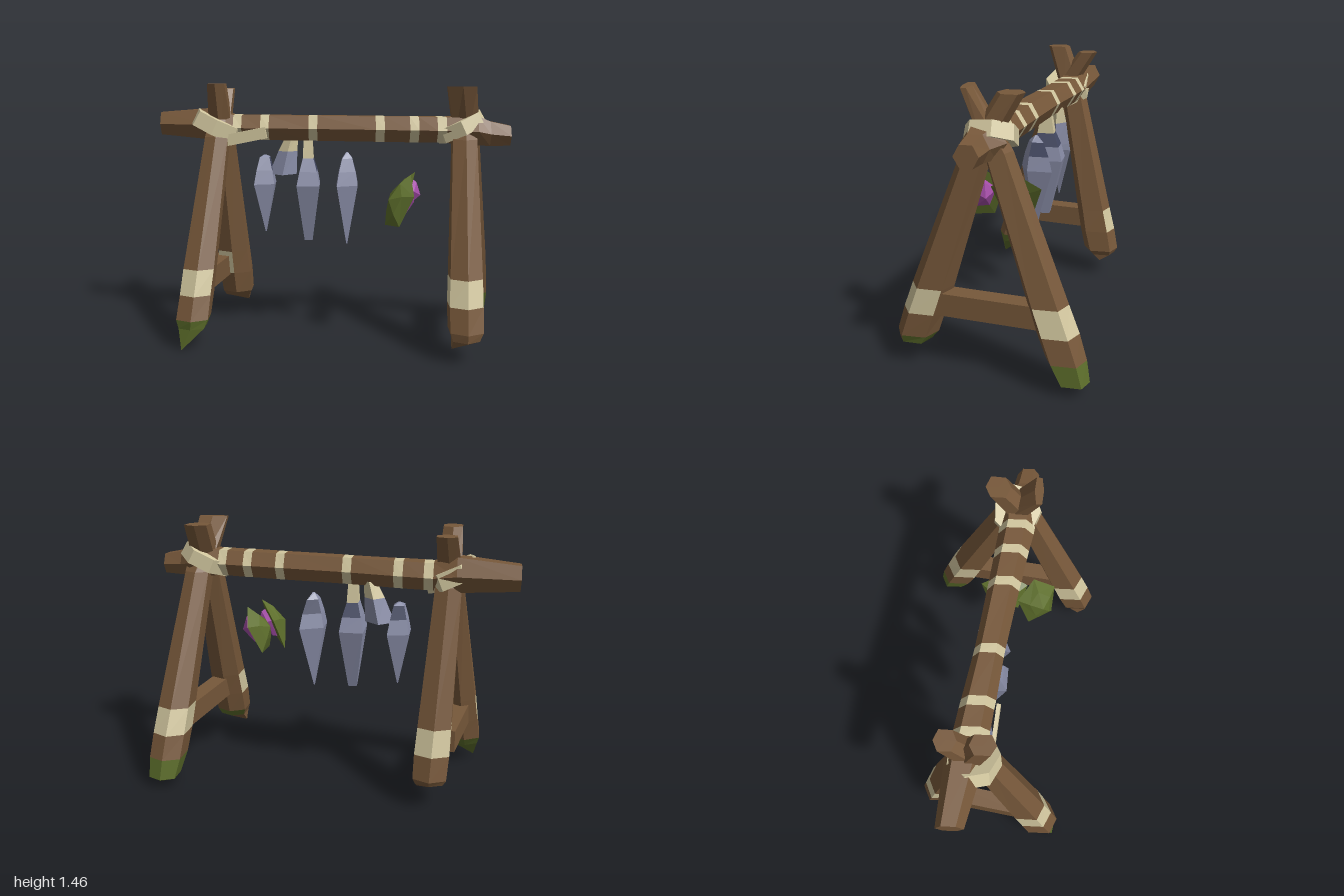
import * as THREE from 'three';

const mat = (name, color) => {
  const m = new THREE.MeshStandardMaterial({ color });
  m.name = name;
  return m;
};

export function createModel() {
  const model = new THREE.Group();
  model.name = 'hangingRack';
  const mats = [
    mat('wood', 0x77583a), mat('binding', 0xd2c79f), mat('moss', 0x5d6e2b),
    mat('crystal', 0x8a8ea8), mat('darkCrystal', 0x434862), mat('blossom', 0xa64eaa),
  ];
  const WOOD = 0, BIND = 1, MOSS = 2, CRYSTAL = 3, DARK = 4, BLOSSOM = 5;

  let seed = 7;
  const rand = () => (seed = (seed * 16807) % 2147483647) / 2147483647;
  const squarish = (v) => Math.sign(v) * Math.abs(v) ** 0.7;

  // Faceted loft through rings [x, y, z, ra, rb], ascending along the axis.
  // paint(i, j) gives the colour of side j in span i; -1 is the first cap.
  function loft(name, axis, n, rings, paint, { start, end, phase = 0, rough = 0.06 } = {}) {
    const side = Array.from({ length: n }, () => 1 + (rand() - 0.5) * 2 * rough);
    const pts = rings.map(([x, y, z, ra, rb]) => side.map((s, j) => {
      const a = phase + (j / n) * Math.PI * 2;
      const k = s * (1 + (rand() - 0.5) * rough);
      return axis === 'y'
        ? [x + squarish(Math.cos(a)) * ra * k, y, z + squarish(Math.sin(a)) * rb * k]
        : [x, y + Math.sin(a) * ra * k, z + Math.cos(a) * rb * k];
    }));
    const buckets = mats.map(() => []);
    const last = rings.length - 1;
    const first = start || rings[0].slice(0, 3), final = end || rings[last].slice(0, 3);
    for (let j = 0; j < n; j++) {
      const k = (j + 1) % n;
      for (let i = 0; i < last; i++) {
        const [a, b, c, d] = [pts[i][j], pts[i + 1][j], pts[i + 1][k], pts[i][k]];
        buckets[paint(i, j)].push(...a, ...b, ...d, ...b, ...c, ...d);
      }
      buckets[paint(-1, j)].push(...first, ...pts[0][j], ...pts[0][k]);
      buckets[paint(last, j)].push(...final, ...pts[last][k], ...pts[last][j]);
    }
    const g = new THREE.BufferGeometry();
    let at = 0;
    buckets.forEach((b, m) => {
      if (b.length) g.addGroup(at, b.length / 3, m);
      at += b.length / 3;
    });
    g.setAttribute('position', new THREE.Float32BufferAttribute(buckets.flat(), 3));
    g.computeVertexNormals();
    const mesh = new THREE.Mesh(g, mats);
    mesh.name = name;
    return mesh;
  }

  // Legs: foot, crossing and top centres. The band covers the sides that face
  // bandDir [x, z]; moss covers those facing mossDir, or the whole foot if mossy.
  function leg(name, { foot, cross, top, tip, topR, bandDir, mossDir, mossy }) {
    const at = (y) => {
      const t = (y - foot[1]) / (cross[1] - foot[1]);
      return [foot[0] + (cross[0] - foot[0]) * t, y, foot[2] + (cross[2] - foot[2]) * t];
    };
    const rings = [
      [...foot, 0.082, 0.082], [...at(0.18), 0.1, 0.105], [...at(0.31), 0.102, 0.108],
      [...at(0.45), 0.098, 0.104], [...cross, 0.077, 0.075], [...top, ...topR],
    ];
    const paint = (i, j) => {
      const a = Math.PI / 6 + ((j + 0.5) / 6) * Math.PI * 2;
      const facing = (d) => Math.cos(a) * d[0] + Math.sin(a) * d[1];
      if (i < 1) return mossy || (i === 0 && mossDir && facing(mossDir) > 0) ? MOSS : WOOD;
      return i === 2 && facing(bandDir) > -0.3 ? BIND : WOOD;
    };
    model.add(loft(name, 'y', 6, rings, paint, { start: tip, phase: Math.PI / 6 }));
  }
  leg('leftFrontLeg', {
    foot: [0.735, 0.135, 0.435], cross: [0.75, 1.17, 0.08], top: [0.75, 1.44, -0.08],
    tip: [0.66, 0.08, 0.44], topR: [0.07, 0.065], bandDir: [0, 1], mossDir: [0.7, -0.7],
  });
  leg('leftBackLeg', {
    foot: [0.9, 0.07, -0.41], cross: [0.775, 1.17, -0.02], top: [0.725, 1.46, 0.135],
    tip: [0.92, 0.04, -0.44], topR: [0.09, 0.025], bandDir: [0, -1], mossy: true,
  });
  leg('rightFrontLeg', {
    foot: [-0.765, 0.13, 0.23], cross: [-0.65, 1.17, -0.09], top: [-0.625, 1.44, -0.27],
    tip: [-0.82, 0.01, 0.3], topR: [0.06, 0.055], bandDir: [-0.5, 0.87], mossy: true,
  });
  leg('rightBackLeg', {
    foot: [-0.585, 0.15, -0.4], cross: [-0.64, 1.17, -0.19], top: [-0.65, 1.47, -0.09],
    tip: [-0.52, 0.11, -0.39], topR: [0.055, 0.065], bandDir: [-0.7, -0.7],
  });

  // Low braces joining each pair of legs
  function brace(name, a, b) {
    const A = new THREE.Vector3(...a), B = new THREE.Vector3(...b);
    const m = new THREE.Mesh(new THREE.BoxGeometry(0.1, 0.12, A.distanceTo(B)), mats[WOOD]);
    m.name = name;
    m.position.copy(A).add(B).multiplyScalar(0.5);
    m.lookAt(B);
    model.add(m);
  }
  brace('leftBrace', [0.76, 0.37, 0.35], [0.84, 0.37, -0.29]);
  brace('rightBrace', [-0.74, 0.36, 0.15], [-0.66, 0.36, -0.34]);

  // Top beam with painted binding stripes
  const beamZ = (x) => -0.08 + 0.16 * x;
  const stripes = [-0.56, -0.4, -0.12, 0.26, 0.45, 0.6];
  const beam = [[-1, 1.235, -0.24, 0.075, 0.07], [-0.68, 1.235, beamZ(-0.68), 0.105, 0.1]];
  stripes.forEach((x) => [x, x + 0.05].forEach((s) =>
    beam.push([s, 1.218, beamZ(s), 0.082, 0.078 + 0.03 * Math.abs(s)])));
  beam.push([0.82, 1.215, 0.035, 0.093, 0.11], [0.89, 1.2, 0.06, 0.077, 0.07],
    [1, 1.19, 0.075, 0.062, 0.06]);
  model.add(loft('beam', 'x', 6, beam,
    (i) => (i >= 2 && i < 2 + stripes.length * 2 && i % 2 === 0 ? BIND : WOOD), { rough: 0.025 }));

  // Slanted lashings around the crossings
  function lashing(name, pos, scale, height, tilt) {
    const g = new THREE.CylinderGeometry(1, 1.05, height, 7).toNonIndexed();
    g.scale(scale[0], 1, scale[1]);
    g.computeVertexNormals();
    const m = new THREE.Mesh(g, mats[BIND]);
    m.name = name;
    m.position.set(...pos);
    m.rotation.z = tilt;
    model.add(m);
  }
  lashing('leftLashing', [0.735, 1.235, 0.02], [0.142, 0.13], 0.08, 0.44);
  lashing('rightLashing', [-0.655, 1.225, -0.145], [0.15, 0.135], 0.09, -0.44);
  const tail = new THREE.Mesh(new THREE.BoxGeometry(0.26, 0.065, 0.02), mats[BIND]);
  tail.name = 'lashingTail';
  tail.position.set(-0.49, 1.17, -0.045);
  tail.rotation.set(0, -0.1, 0.2);
  model.add(tail);

  // Hanging crystals: four-sided blades with dark shoulders on the left and back
  function crystal(name, [x, z], [low, high], [ra, rb], neck, blunt, phase, turn) {
    const rings = [
      [0, low, 0, blunt, blunt], [0, 0.89, 0, ra, rb], [0, 0.97, 0, ra * 0.78, rb * 0.78],
      [0, 1.045, 0, ra * 0.48, rb * 0.48], [0, high, 0, neck, neck],
    ];
    const paint = (i, j) => {
      if (i === 2 && j !== 1 && (j !== 2 || phase)  && !(phase && j === 0)) return DARK;
      return i > 2 && neck > 0.02 ? BIND : CRYSTAL;
    };
    const m = loft(name, 'y', 4, rings, paint, { phase, rough: 0.04 });
    m.position.set(x, 0, z);
    m.rotation.y = turn;
    model.add(m);
  }
  crystal('rightCrystal', [-0.38, -0.14], [0.6, 1.06], [0.092, 0.07], 0.008, 0.004, 0, 0.9);
  crystal('middleCrystal', [-0.125, -0.1], [0.56, 1.19], [0.083, 0.125], 0.03, 0.03, Math.PI / 4, 0);
  crystal('leftCrystal', [0.1, -0.08], [0.54, 1.08], [0.112, 0.074], 0.008, 0.004, 0, 1);
  // Leaning shard and its cord beside the right crystal
  model.add(loft('leaningShard', 'y', 4, [
    [-0.275, 0.945, -0.14, 0.08, 0.07], [-0.245, 1.08, -0.145, 0.055, 0.05],
    [-0.22, 1.17, -0.145, 0.035, 0.035],
  ], (i) => (i >= 1 ? BIND : CRYSTAL)));

  // Leafy cups, each holding a pointed blossom that leans out to the left
  function flower(name, pos, ry, rz, turn) {
    const f = new THREE.Group();
    f.name = name;
    f.add(loft('leafCup', 'x', 5, [[-0.03, 0, 0, ry * 0.55, rz * 0.55], [0.015, 0, 0, ry, rz]],
      () => MOSS, { start: [-0.065, -0.01, 0], end: [0.03, 0, 0], phase: Math.PI / 2, rough: 0.1 }));
    f.add(loft('blossom', 'x', 5,
      [[0.012, 0.01, 0, ry * 0.62, rz * 0.6], [0.045, 0.015, 0, ry * 0.54, rz * 0.52]],
      () => BLOSSOM, { end: [0.095, 0.03, 0], phase: Math.PI / 2 }));
    f.position.set(...pos);
    f.rotation.set(0, turn, -0.38);
    model.add(f);
  }
  flower('frontFlower', [0.385, 0.83, 0.16], 0.16, 0.12, 0.45);
  flower('backFlower', [0.425, 0.845, -0.04], 0.15, 0.13, 0);

  return model;
}
